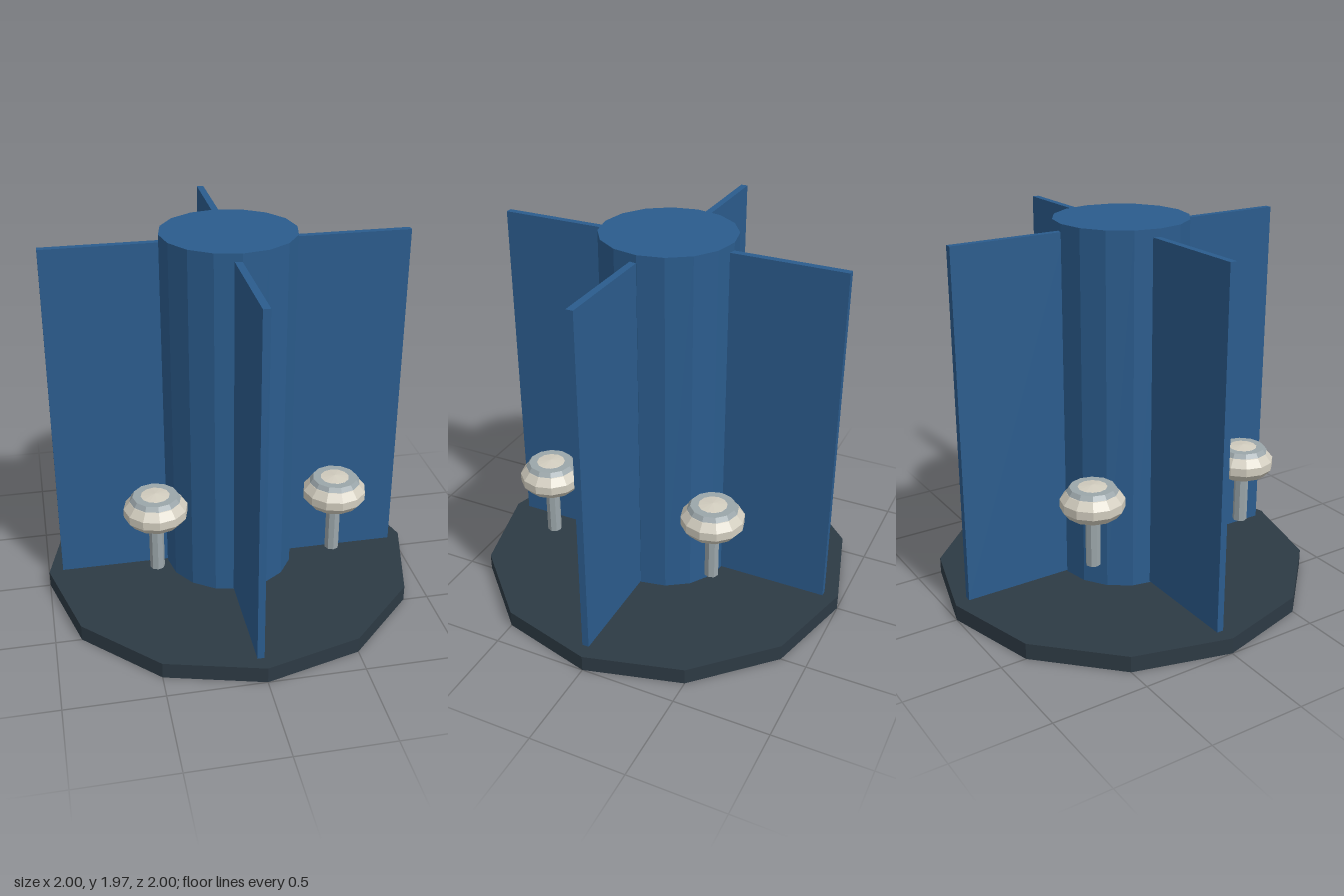
import * as THREE from 'three';

const flat = (name, color) => {
  const m = new THREE.MeshStandardMaterial({ color, flatShading: true });
  m.name = name;
  return m;
};

export function createModel() {
  const slate = flat('slate', 0x2d3a44);
  const blue = flat('blue', 0x2b5c8d);
  const steel = flat('steel', 0x9ba6aa);
  const ivory = flat('ivory', 0xd2cdbf);

  const model = new THREE.Group();
  model.name = 'finnedColumn';

  const add = (parent, name, geometry, material, x, y, z) => {
    const mesh = new THREE.Mesh(geometry, material);
    mesh.name = name;
    mesh.position.set(x, y, z);
    parent.add(mesh);
    return mesh;
  };

  // Twelve-sided base plate and sixteen-sided column
  add(model, 'base', new THREE.CylinderGeometry(1, 1, 0.085, 12), slate, 0, 0.0425, 0);
  add(model, 'column', new THREE.CylinderGeometry(0.345, 0.345, 1.885, 16), blue, 0, 1.0275, 0);

  const finGeometry = new THREE.BoxGeometry(0.036, 1.84, 0.605);
  const stemGeometry = new THREE.CylinderGeometry(0.037, 0.037, 0.27, 8);
  const headGeometry = new THREE.SphereGeometry(0.163, 12, 7);
  headGeometry.scale(1, 0.095 / 0.163, 1);
  const collarGeometry = new THREE.CylinderGeometry(0.112, 0.128, 0.022, 12);

  for (let i = 0; i < 4; i++) {
    const quarter = new THREE.Group();
    quarter.name = `quarter${i + 1}`;
    quarter.rotation.y = (i * Math.PI) / 2;
    model.add(quarter);

    // Radial fin, set to one side of the centre line
    add(quarter, 'fin', finGeometry, blue, -0.02, 1.01, 0.6225);

    // Floating knob: stem, squashed head and a collar the crown rises through
    const knob = new THREE.Group();
    knob.name = 'knob';
    knob.position.set(0.457, 0, 0.457);
    quarter.add(knob);
    add(knob, 'stem', stemGeometry, steel, 0, 0.513, 0);
    add(knob, 'head', headGeometry, ivory, 0, 0.711, 0);
    add(knob, 'collar', collarGeometry, steel, 0, 0.785, 0);
  }

  return model;
}
